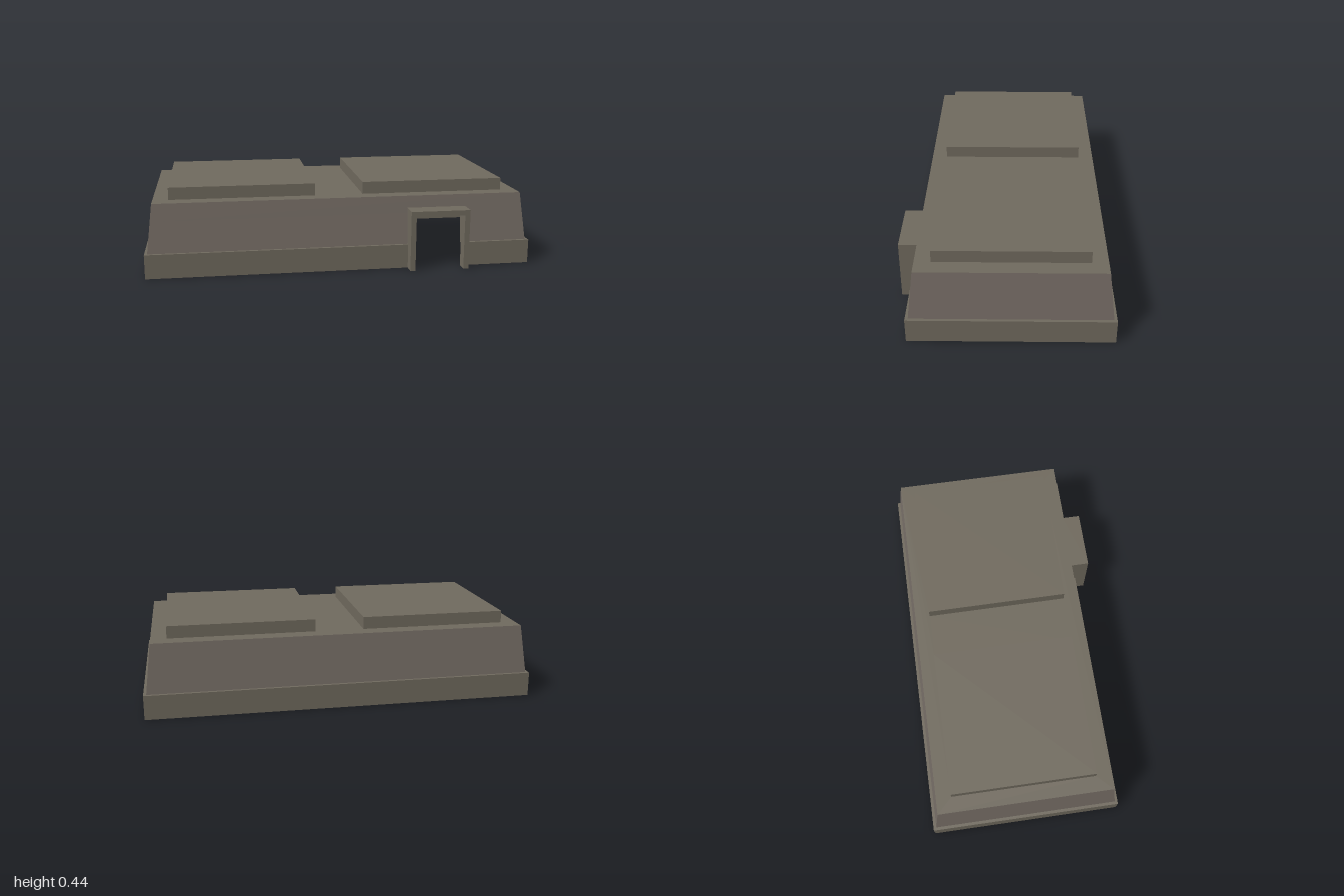
import * as THREE from 'three';

const BASE_H = 0.125, ROOF_H = 0.375, TOP_H = 0.438;
const ZC = -0.03; // centre of the building in z; the porch sticks out in front
const DOOR = { x0: 0.372, x1: 0.628, h: 0.285 };
const FRAME = { x0: 0.345, x1: 0.655, h: 0.313, z: 0.53 };

// front face of the sloping wall at height y
const wallZ = (y) => 0.455 - 0.03 * (y - BASE_H) / (ROOF_H - BASE_H);
// half width of the sloping wall at height y
const wallX = (y) => 0.985 - 0.03 * (y - BASE_H) / (ROOF_H - BASE_H);

// flat quads, corners counter-clockwise from outside
function quads(list) {
  const pos = [];
  for (const [a, b, c, d] of list) pos.push(...a, ...b, ...c, ...a, ...c, ...d);
  const g = new THREE.BufferGeometry();
  g.setAttribute('position', new THREE.Float32BufferAttribute(pos, 3));
  g.computeVertexNormals();
  return g;
}

// four-sided open band between two rectangles [halfX, zBack, zFront, y];
// the front is left to be made separately when withFront is false
function band([x0, b0, f0, y0], [x1, b1, f1, y1], cx = 0, withFront = true) {
  const lo = [[cx - x0, y0, f0], [cx + x0, y0, f0], [cx + x0, y0, b0], [cx - x0, y0, b0]];
  const hi = [[cx - x1, y1, f1], [cx + x1, y1, f1], [cx + x1, y1, b1], [cx - x1, y1, b1]];
  const out = [];
  for (let i = withFront ? 0 : 1; i < 4; i++) {
    const j = (i + 1) % 4;
    out.push([lo[i], lo[j], hi[j], hi[i]]);
  }
  return out;
}

const strip = (xa0, xb0, y0, z0, xa1, xb1, y1, z1) =>
  [[xa0, y0, z0], [xb0, y0, z0], [xb1, y1, z1], [xa1, y1, z1]];

function rectPath(path, x0, x1, z0, z1) {
  path.moveTo(x0, -z1); path.lineTo(x1, -z1);
  path.lineTo(x1, -z0); path.lineTo(x0, -z0);
  path.closePath();
  return path;
}

export function createModel() {
  const model = new THREE.Group();
  const trim = new THREE.MeshStandardMaterial({ color: 0x706a5e, side: THREE.DoubleSide });
  trim.name = 'olive grey trim';
  const wall = new THREE.MeshStandardMaterial({ color: 0x756c65, side: THREE.DoubleSide });
  wall.name = 'warm grey wall';
  const add = (name, geometry, material) => {
    const mesh = new THREE.Mesh(geometry, material);
    mesh.name = name;
    model.add(mesh);
    return mesh;
  };

  // plinth with a narrow ledge, open below and cut by the doorway
  const b = BASE_H;
  const outer = (y) => [1, -0.53, 0.47, y];
  const inner = [0.985, -0.515, 0.455, b];
  add('plinth', quads([
    ...band(outer(0), outer(b), 0, false),
    ...band(outer(b), inner, 0, false),
    strip(-1, DOOR.x0, 0, 0.47, -1, DOOR.x0, b, 0.47),
    strip(DOOR.x1, 1, 0, 0.47, DOOR.x1, 1, b, 0.47),
    strip(-1, DOOR.x0, b, 0.47, -0.985, DOOR.x0, b, 0.455),
    strip(DOOR.x1, 1, b, 0.47, DOOR.x1, 0.985, b, 0.455),
  ]), trim);

  // sloping walls, with the doorway left open in the front
  const h = DOOR.h, t = ROOF_H;
  add('walls', quads([
    ...band(inner, [wallX(t), -0.485, wallZ(t), t], 0, false),
    strip(-wallX(b), DOOR.x0, b, wallZ(b), -wallX(h), DOOR.x0, h, wallZ(h)),
    strip(DOOR.x1, wallX(b), b, wallZ(b), DOOR.x1, wallX(h), h, wallZ(h)),
    strip(-wallX(h), wallX(h), h, wallZ(h), -wallX(t), wallX(t), t, wallZ(t)),
  ]), wall);

  // roof with two square openings under hollow raised blocks
  const roof = rectPath(new THREE.Shape(), -wallX(t), wallX(t), -0.485, wallZ(t));
  const z0 = ZC - 0.375, z1 = ZC + 0.375;
  for (const cx of [-0.5, 0.5]) {
    roof.holes.push(rectPath(new THREE.Path(), cx - 0.375, cx + 0.375, z0, z1));
    const rect = (y) => [0.375, z0, z1, y];
    add(cx < 0 ? 'rightRoofBlock' : 'leftRoofBlock', quads([
      ...band(rect(t), rect(TOP_H), cx),
      strip(cx - 0.375, cx + 0.375, TOP_H, z1, cx - 0.375, cx + 0.375, TOP_H, z0),
    ]), trim);
  }
  add('roof', new THREE.ShapeGeometry(roof).rotateX(-Math.PI / 2).translate(0, t, 0), trim);

  // door frame: side profiles that follow the wall, pulled along x
  const e = 0.001;
  const pull = (points, x0, x1) =>
    new THREE.ExtrudeGeometry(new THREE.Shape(points.map((p) => new THREE.Vector2(...p))),
      { depth: x1 - x0, bevelEnabled: false }).rotateY(-Math.PI / 2).translate(x1, 0, 0);
  const leg = [[FRAME.z, 0], [FRAME.z, h], [wallZ(h) + e, h],
    [0.455 + e, b + e], [0.47 + e, b + e], [0.47 + e, 0]];
  const lintel = [[FRAME.z, h], [FRAME.z, FRAME.h], [wallZ(FRAME.h) + e, FRAME.h], [wallZ(h) + e, h]];
  add('rightDoorPost', pull(leg, FRAME.x0, DOOR.x0), trim);
  add('leftDoorPost', pull(leg, DOOR.x1, FRAME.x1), trim);
  add('doorLintel', pull(lintel, FRAME.x0, FRAME.x1), trim);

  return model;
}
